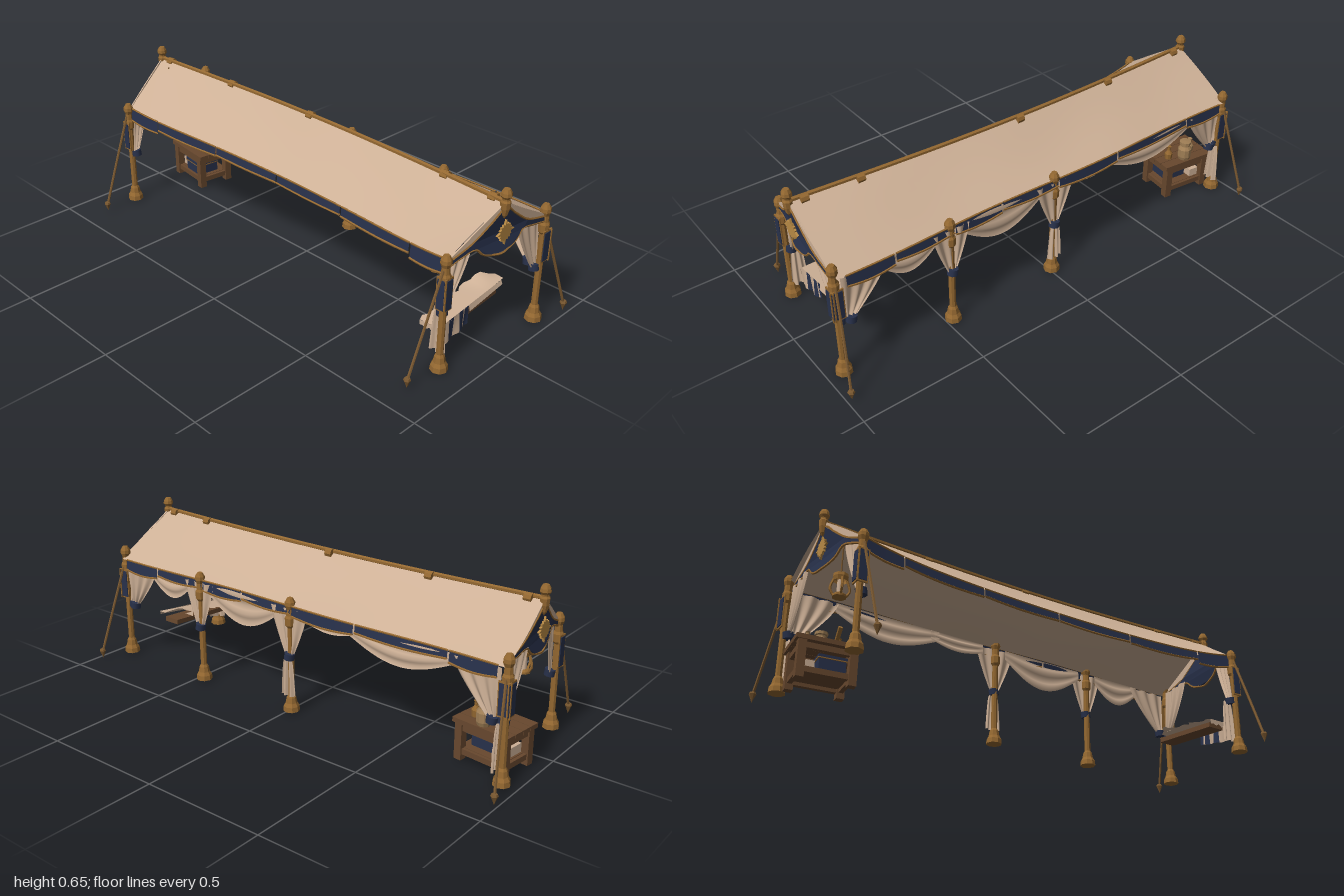
import * as THREE from 'three';

const mat = (name, color) => new THREE.MeshStandardMaterial({ name, color, side: THREE.DoubleSide });
const V = (x, y, z) => new THREE.Vector3(x, y, z);

export function createModel() {
  const cream = mat('cream canvas', 0xcdb096), navy = mat('navy cloth', 0x28314b);
  const brass = mat('aged brass', 0x946831), sunGold = mat('gold thread', 0xb88a45);
  const wood = mat('dark wood', 0x68482e), rope = mat('rope', 0x7a5830), clay = mat('clay', 0x9f7e55);
  for (const m of [brass, wood, rope, clay]) m.flatShading = true;
  const root = new THREE.Group();

  const add = (name, geo, material, pos = [0, 0, 0], parent = root) => {
    const m = new THREE.Mesh(geo, material);
    m.name = name;
    m.position.set(...pos);
    parent.add(m);
    return m;
  };
  // Cloth sheet from a rule f(u, v) -> point
  const sheet = (name, nu, nv, f, material) => {
    const p = [], idx = [];
    for (let j = 0; j <= nv; j++) for (let i = 0; i <= nu; i++) p.push(...f(i / nu, j / nv).toArray());
    for (let j = 0; j < nv; j++) for (let i = 0; i < nu; i++) {
      const a = j * (nu + 1) + i, b = a + nu + 1;
      idx.push(a, b, a + 1, a + 1, b, b + 1);
    }
    const g = new THREE.BufferGeometry();
    g.setAttribute('position', new THREE.Float32BufferAttribute(p, 3));
    g.setIndex(idx);
    g.computeVertexNormals();
    return add(name, g, material);
  };
  const tube = (name, pts, r, material, n = 12, sides = 6) =>
    add(name, new THREE.TubeGeometry(new THREE.CatmullRomCurve3(pts), n, r, sides), material);
  const lathe = (name, prof, material, pos, n = 8, parent = root) =>
    add(name, new THREE.LatheGeometry(prof.map(q => new THREE.Vector2(...q)), n), material, pos, parent);
  const box = (name, size, pos, material, parent = root) =>
    add(name, new THREE.BoxGeometry(...size), material, pos, parent);

  // Roof: ridge line and two eaves
  const ridge = u => V(-0.925 + 1.865 * u, 0.597, -0.01 + 0.018 * u - 0.035 * Math.sin(Math.PI * u));
  const front = u => V(-0.87 + 1.75 * u, 0.416 + 0.028 * (2 * u - 1) ** 6, 0.165 + 0.055 * (2 * u - 1) ** 2);
  const back = u => V(-0.94 + 1.87 * u, 0.438, -0.275 + 0.006 * Math.sin(u * 12));
  for (const [name, eave, inset] of [['frontRoof', front, 0.006], ['backRoof', back, -0.006]])
    sheet(name, 48, 8, (u, v) => {
      const p = ridge(u).lerp(eave(u), v), s = Math.sin(Math.PI * v);
      p.y -= s * (0.01 + 0.004 * Math.sin(u * 19)) * Math.sin(Math.PI * u);
      p.x += s * inset * (1 - 2 * u);
      return p;
    }, cream);

  // Ridge pole with bands and end finials
  const ridgePts = [0, 0.2, 0.4, 0.6, 0.8, 1].map(u => ridge(u).add(V(0, 0.004, 0)));
  tube('ridgePole', ridgePts, 0.009, brass, 40);
  for (const u of [0.03, 0.24, 0.485, 0.855, 0.97]) {
    const band = add('ridgeBand', new THREE.CylinderGeometry(0.018, 0.018, 0.03, 8), brass,
      ridge(u).add(V(0, -0.004, -0.006)).toArray());
    band.rotation.z = Math.PI / 2;
  }
  for (const u of [0, 1])
    lathe('ridgeFinial', [[0, -0.06], [0.01, -0.045], [0.017, -0.02], [0.019, 0.005], [0.014, 0.012],
      [0.014, 0.018], [0.021, 0.028], [0.019, 0.04], [0.012, 0.053], [0, 0.053]], brass, ridge(u).toArray());

  // Posts: base, shaft, collar, knob
  const post = (x, z, h) => {
    const g = new THREE.Group();
    g.name = 'post';
    g.position.set(x, 0, z);
    root.add(g);
    lathe('shaft', [[0, 0.004], [0.033, 0.004], [0.031, 0.024], [0.023, 0.038], [0.019, 0.06], [0.013, 0.07],
      [0.013, h - 0.12], [0.02, h - 0.11], [0.021, h - 0.08], [0.016, h - 0.07], [0.015, h - 0.045],
      [0.021, h - 0.03], [0.02, h - 0.016], [0.011, h], [0, h]], brass, [0, 0, 0], 8, g);
    return g;
  };
  const corners = [[-0.87, 0.23, 0.465, -0.865, 0.385], [0.88, 0.228, 0.465, 0.867, 0.382],
    [-0.94, -0.262, 0.485, -0.985, -0.388], [0.935, -0.258, 0.49, 0.98, -0.388]];
  for (const x of [-0.01, 0.47]) post(x, -0.27, 0.47);
  for (const [x, z, h, px, pz] of corners) {
    const g = post(x, z, h), s = Math.sign(z), d = Math.sign(x);
    const by = s > 0 ? 0.318 : 0.325, w = s > 0 ? 0.031 : 0.04;
    // Navy banners on brass backing, outer faces
    box('sideBannerTrim', [0.005, 0.13, w + 0.011], [d * 0.0165, by, 0], brass, g);
    box('sideBanner', [0.005, 0.116, w], [d * 0.0195, by, 0], navy, g);
    box('faceBannerTrim', [w + 0.011, 0.13, 0.005], [0, by, s * 0.0165], brass, g);
    box('faceBanner', [w, 0.116, 0.005], [0, by, s * 0.0195], navy, g);
    // Guy rope and peg
    tube('guyRope', [V(x, 0.41, z + s * 0.012), V((x + px) / 2, 0.212, (z + pz) / 2 + s * 0.01), V(px, 0.03, pz)], 0.0055, rope);
    lathe('peg', [[0, 0], [0.007, 0.018], [0.014, 0.034], [0.011, 0.042], [0, 0.043]], rope, [px, 0, pz], 6);
  }

  // Navy gables with cream canvas edge, gold edging and sun
  const lower = [[0.25, 0.425], [0.18, 0.44], [0.115, 0.45], [0.08, 0.42], [0.04, 0.406], [0, 0.4],
    [-0.04, 0.406], [-0.08, 0.42], [-0.115, 0.45], [-0.17, 0.438], [-0.22, 0.418]];
  const upper = [[-0.22, 0.437], [-0.13, 0.478], [-0.06, 0.53], [0, 0.575], [0.06, 0.532], [0.14, 0.477], [0.25, 0.444]];
  const roofEdge = [[0.265, 0.445], [0.13, 0.52], [0, 0.597], [-0.115, 0.52], [-0.22, 0.446]];
  for (const d of [-1, 1]) {
    const gx = d > 0 ? 0.935 : -0.925;
    const lean = z => -d * 0.055 * Math.max(0, z) / 0.23;
    const panel = (name, pts, material, x) => {
      const geo = new THREE.ExtrudeGeometry(new THREE.Shape(pts.map(q => new THREE.Vector2(...q))),
        { depth: 0.006, bevelEnabled: false });
      geo.rotateY(Math.PI / 2);
      const p = geo.attributes.position;
      for (let i = 0; i < p.count; i++) p.setX(i, p.getX(i) + lean(p.getZ(i)));
      geo.computeVertexNormals();
      add(name, geo, material, [x, 0, 0]);
    };
    panel('gable', [...lower, ...upper], navy, gx);
    panel('gableCanvasEdge', [...upper, ...roofEdge], cream, gx - d * 0.002);
    for (const line of [lower, upper])
      tube('gableTrim', line.map(([u, y]) => V(gx + 0.003 + lean(-u), y, -u)), 0.005, brass, 40, 5);
    const star = new THREE.Shape(Array.from({ length: 32 }, (_, i) => {
      const a = i * Math.PI / 16, r = i % 2 ? 0.029 : (i % 8 ? 0.036 : 0.048);
      return new THREE.Vector2(r * Math.cos(a), r * Math.sin(a));
    }));
    const sun = add('sunEmblem', new THREE.ExtrudeGeometry(star, { depth: 0.008, bevelEnabled: false }), sunGold,
      [gx + (d > 0 ? 0.004 : -0.005), 0.485, 0]);
    sun.rotation.y = Math.PI / 2;
  }

  // Valance panels hanging from both eaves, with gold hems
  const valance = (eave, out, cuts, drops, sag) => {
    for (let k = 0; k + 1 < cuts.length; k++) {
      const u0 = cuts[k] + 0.002, u1 = cuts[k + 1] - 0.002;
      const edge = (u, t) => {
        const q = eave(u0 + (u1 - u0) * u);
        return q.add(V(0, 0.003 - t * (drops[k] + sag * Math.sin(Math.PI * u)), out * (0.003 + 0.005 * t)));
      };
      sheet('valance', 12, 1, edge, navy);
      tube('valanceHem', [0, 0.25, 0.5, 0.75, 1].map(u => edge(u, 1)), 0.0045, brass, 12, 5);
      tube('valanceTopTrim', [0, 0.25, 0.5, 0.75, 1].map(u => edge(u, 0)), 0.004, brass, 12, 5);
    }
  };
  valance(front, 1, [0, 0.1, 0.3, 0.5, 0.7, 0.9, 1], [0.052, 0.038, 0.034, 0.034, 0.038, 0.056], 0.005);
  valance(back, -1, [0.015, 0.12, 0.33, 0.49, 0.63, 0.745, 0.88, 0.985], [0.042, 0.03, 0.038, 0.03, 0.04, 0.03, 0.042], 0.01);

  // Gathered curtain from top edge a-b down to a navy tie at c
  const curtain = (a, b, c) => {
    const dir = b.clone().sub(a).setY(0).normalize(), side = V(-dir.z, 0, dir.x);
    sheet('curtain', 32, 10, (s, t) => {
      const top = a.clone().lerp(b, s), tie = c.clone().addScaledVector(dir, (s - 0.5) * 0.036);
      const p = top.clone().lerp(tie, t ** 1.3);
      p.y = top.y + (tie.y - top.y) * t;
      return p.addScaledVector(side, 0.005 * Math.sin(s * Math.PI * 6));
    }, cream);
    const knot = add('curtainTie', new THREE.CylinderGeometry(0.021, 0.021, 0.026, 10), navy, c.toArray());
    knot.rotation.z = 0.15;
  };
  // Loose cloth falling below a tie
  const skirt = (c, dir, bottom) => {
    const side = V(-dir.z, 0, dir.x);
    sheet('curtainSkirt', 32, 6, (s, t) => c.clone()
      .addScaledVector(dir, (s - 0.5) * (0.036 + 0.034 * Math.sqrt(t)))
      .add(V(0, -(c.y - bottom) * t, 0))
      .addScaledVector(side, (0.004 + 0.004 * t) * Math.sin(s * Math.PI * 5)), cream);
  };
  for (const [x, z] of corners) {
    const d = Math.sign(x), s = Math.sign(z), ix = x - d * 0.014;
    curtain(V(ix, 0.435, z - s * 0.012), V(ix + (s > 0 ? d * 0.03 : 0), 0.455, s > 0 ? 0.115 : -0.108),
      V(ix, 0.232, z - s * 0.014));
    if (s < 0) curtain(V(x - d * 0.02, 0.43, -0.27), V(x - d * 0.21, 0.43, -0.27), V(x - d * 0.05, 0.235, -0.262));
  }
  curtain(V(-0.1, 0.43, -0.278), V(0.08, 0.43, -0.278), V(-0.01, 0.235, -0.278));
  curtain(V(0.39, 0.43, -0.278), V(0.55, 0.43, -0.278), V(0.47, 0.24, -0.278));
  skirt(V(-0.008, 0.23, -0.285), V(1, 0, 0), 0.07);
  skirt(V(0.852, 0.23, 0.208), V(1, 0, 0), 0.055);
  skirt(V(-0.918, 0.23, -0.268), V(0, 0, 1), 0.057);

  // Swags along the back between the posts
  for (const [x0, x1, low] of [[-0.74, -0.28, 0.325], [-0.32, -0.07, 0.37], [0.04, 0.43, 0.3], [0.52, 0.76, 0.325]])
    sheet('swag', 20, 8, (u, t) => V(x0 + (x1 - x0) * u,
      0.435 - t * (0.04 + (0.395 - low) * Math.sin(Math.PI * u)),
      -0.272 - 0.006 * Math.sin(t * Math.PI * 4) * Math.sin(Math.PI * u)), cream);

  // Hanging lantern
  const lx = -0.85, lz = 0.015;
  tube('lanternCord', [V(lx, 0.58, lz), V(lx, 0.48, lz), V(lx, 0.38, lz)], 0.003, rope, 4);
  lathe('lanternCap', [[0.026, 0.365], [0.03, 0.38], [0.028, 0.392], [0, 0.396]], brass, [lx, 0, lz]);
  lathe('lanternBase', [[0, 0.3], [0.027, 0.3], [0.027, 0.308], [0.02, 0.314], [0, 0.314]], brass, [lx, 0, lz]);
  add('lanternGlass', new THREE.CylinderGeometry(0.012, 0.012, 0.06, 8), cream, [lx, 0.338, lz]);
  for (let i = 0; i < 4; i++) {
    const a = i * Math.PI / 2 + 0.2, px = Math.cos(a), pz = Math.sin(a);
    tube('lanternBar', [[0.022, 0.305], [0.036, 0.33], [0.024, 0.372]].map(([r, y]) => V(lx + px * r, y, lz + pz * r)), 0.005, brass, 6, 5);
  }

  // Table, slightly turned, with shelf, chest and vessels
  const table = new THREE.Group();
  table.name = 'table';
  table.position.set(-0.832, 0, -0.135);
  table.rotation.y = -0.12;
  root.add(table);
  for (let i = 0; i < 4; i++) box('tableTopPlank', [0.24, 0.018, 0.042], [0, 0.156, -0.066 + i * 0.044], wood, table);
  for (const dx of [-0.095, 0.095]) {
    for (const dz of [-0.068, 0.068]) box('tableLeg', [0.03, 0.145, 0.03], [dx, 0.0765, dz], wood, table);
    for (const y of [0.038, 0.13]) box('tableSideRail', [0.018, 0.022, 0.14], [dx, y, 0], wood, table);
  }
  for (const dz of [-0.068, 0.068])
    for (const y of [0.038, 0.13]) box('tableLongRail', [0.19, 0.022, 0.018], [0, y, dz], wood, table);
  box('shelf', [0.18, 0.01, 0.13], [0, 0.046, 0], wood, table);
  box('chest', [0.1, 0.045, 0.1], [0.022, 0.074, 0.018], navy, table);
  box('chestLid', [0.106, 0.012, 0.106], [0.022, 0.103, 0.018], navy, table);
  box('chestTrim', [0.108, 0.004, 0.108], [0.022, 0.096, 0.018], brass, table);
  box('foldedCloth', [0.045, 0.035, 0.11], [-0.06, 0.069, -0.005], cream, table);
  lathe('jar', [[0, 0], [0.024, 0], [0.029, 0.015], [0.029, 0.05], [0.019, 0.064], [0.019, 0.072], [0.025, 0.074],
    [0.025, 0.086], [0, 0.088]], clay, [0.005, 0.165, -0.058], 10, table);
  const bottle = [[0, 0], [0.015, 0], [0.017, 0.025], [0.007, 0.042], [0.007, 0.055], [0.01, 0.06], [0, 0.06]];
  lathe('bottle', bottle, brass, [0.065, 0.165, -0.025], 8, table);
  lathe('bottle', bottle, clay, [-0.055, 0.165, -0.02], 8, table);
  const scroll = add('scroll', new THREE.CylinderGeometry(0.009, 0.009, 0.07, 8), brass, [0.035, 0.195, 0.06], table);
  scroll.rotation.x = 0.75;

  // Tilted cot board with a ragged striped blanket
  const cotX = 0.85, cotY = z => 0.168 - 0.1 * z;
  const board = box('cotBoard', [0.075, 0.02, 0.31], [cotX - 0.042, 0.13, 0.022], wood);
  board.rotation.x = 0.07;
  sheet('blanketTop', 10, 16, (u, t) => {
    const z = 0.195 - 0.36 * t;
    const w = (t > 0.75 ? 1 - (t - 0.75) * 2.2 : 1) * (1 + 0.1 * Math.sin(t * 31));
    const rumple = 0.022 * Math.exp(-(((z + 0.11) / 0.035) ** 2)) * (1 - u);
    return V(cotX - 0.09 * w * (1 - u), cotY(z) - 0.013 * (1 - t) + rumple, z);
  }, cream);
  sheet('blanketEnd', 6, 2, (u, t) =>
    V(cotX - 0.09 + 0.09 * u, 0.1355 - t * (0.02 + 0.01 * Math.sin(u * 20)), 0.196), cream);
  const stripes = [[0.195, 0.145, cream], [0.145, 0.118, navy], [0.118, 0.088, cream], [0.088, 0.065, navy],
    [0.065, 0.058, cream], [0.058, 0.036, navy]];
  for (const [z0, z1, m] of stripes) sheet('blanketDrop', 4, 6, (u, t) => {
    const z = z0 + (z1 - z0) * u, top = cotY(z) - 0.003, low = 0.056 + (0.195 - z) * 0.17;
    return V(cotX + 0.005 * Math.sin(z * 90) * t, top + (low - top) * t, z);
  }, m);
  sheet('blanketFold', 8, 2, (u, t) => {
    const z = 0.036 - 0.19 * u;
    return V(cotX + 0.006 * t, cotY(z) - 0.002 - t * (0.024 - 0.008 * u), z);
  }, cream);
  for (let i = 0; i < 3; i++) sheet('blanketTatter', 2, 2, (u, t) => {
    const z = 0.08 - i * 0.07 + (u - 0.5) * 0.045 * (1 - t);
    return V(cotX - 0.08 - 0.025 * t, cotY(z) - 0.008 - 0.006 * i * t, z);
  }, cream);

  return root;
}
